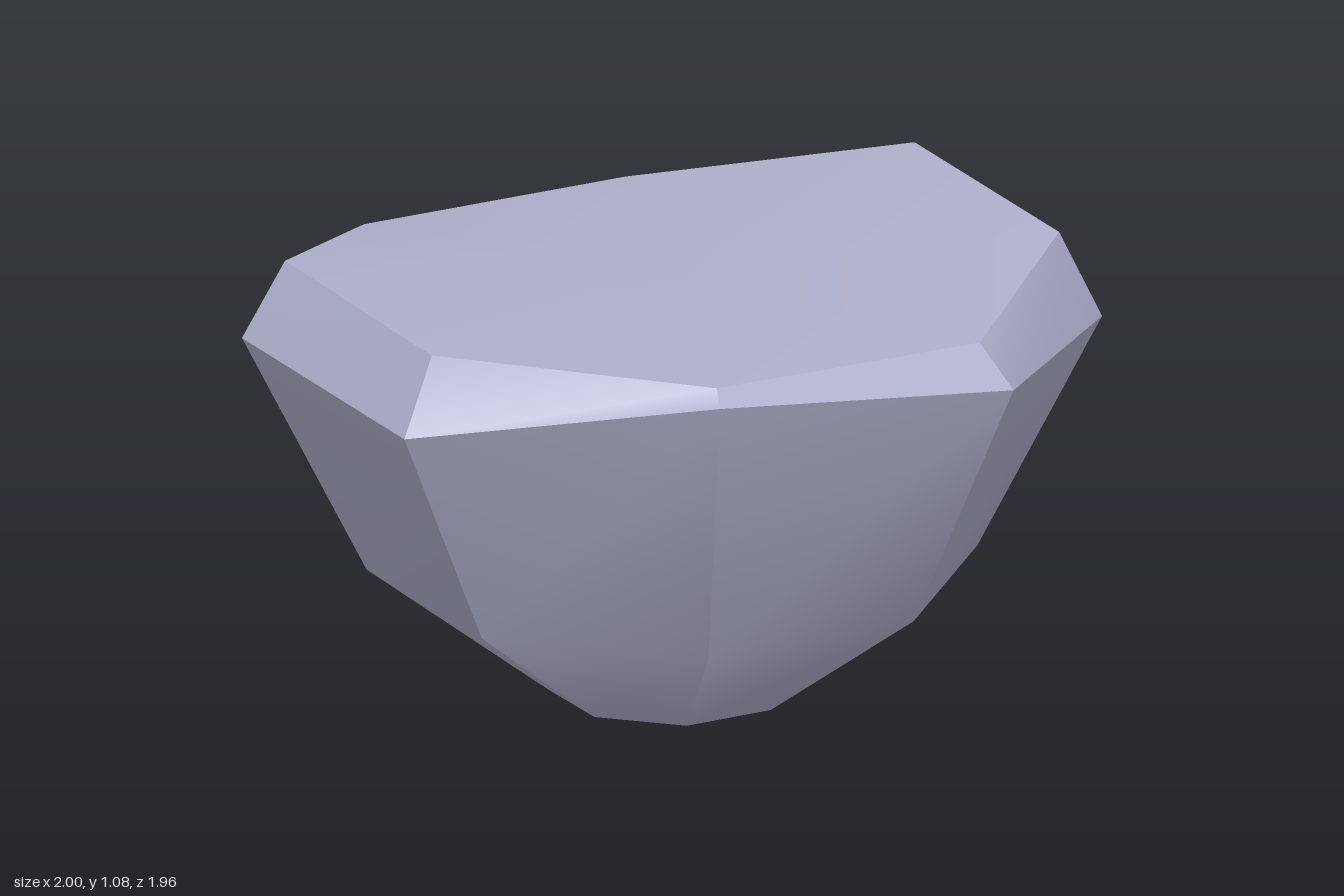
import * as THREE from 'three';
import { mergeGeometries } from 'three/addons/utils/BufferGeometryUtils.js';

const SIDES = 8;
const CENTRE_Z = 0.028;

// Regular eight-sided ring, running from +x towards +z
function regularRing(radius, y) {
  return Array.from({ length: SIDES }, (_, i) => {
    const a = (i / SIDES) * Math.PI * 2;
    return [radius * Math.cos(a), y, CENTRE_Z + radius * Math.sin(a)];
  });
}

const foot = regularRing(0.29, 0);
const waist = regularRing(0.71, 0.31);

// Uneven shoulder, where the boulder is widest
const shoulder = [
  [1, 0.86, 0.028], [0.71, 0.94, 0.735], [0, 1.01, 0.978], [-0.71, 0.89, 0.765],
  [-1, 0.89, 0.028], [-0.71, 0.865, -0.688], [0, 0.86, -0.978], [0.67, 0.94, -0.655],
];

// Chipped rim around the top face
const rim = [
  [0.9, 1.07, 0.028], [0.64, 1.035, 0.665], [0, 1.035, 0.905], [-0.64, 1.075, 0.715],
  [-0.9, 1.075, 0.028], [-0.64, 0.928, -0.61], [0, 0.926, -0.87], [0.64, 1.075, -0.61],
];

function smoothPatch(points, index) {
  const geometry = new THREE.BufferGeometry();
  geometry.setAttribute('position', new THREE.Float32BufferAttribute(points.flat(), 3));
  geometry.setIndex(index);
  geometry.computeVertexNormals();
  return geometry;
}

// Eight facets, each smooth from bottom to top with hard edges at its sides
function facets(rings) {
  return mergeGeometries(rings[0].map((_, i) => {
    const j = (i + 1) % SIDES;
    const points = rings.flatMap((ring) => [ring[i], ring[j]]);
    const index = [];
    for (let a = 0; a < points.length - 2; a += 2) {
      index.push(a, a + 2, a + 1, a + 2, a + 3, a + 1);
    }
    return smoothPatch(points, index);
  }));
}

// Fan from a centre point to a ring
function cap(ring, centreY, facesUp) {
  const index = [];
  for (let i = 0; i < SIDES; i++) {
    const j = (i + 1) % SIDES;
    index.push(SIDES, facesUp ? j : i, facesUp ? i : j);
  }
  return smoothPatch([...ring, [0, centreY, CENTRE_Z]], index);
}

export function createModel() {
  const stone = new THREE.MeshStandardMaterial({ color: 0xafb0cc });
  stone.name = 'stone';

  const group = new THREE.Group();
  group.name = 'rock';
  const parts = {
    base: cap(foot, 0, false),
    walls: facets([foot, waist, shoulder]),
    bevel: facets([shoulder, rim]),
    topFace: cap(rim, 1.03, true),
  };
  for (const [name, geometry] of Object.entries(parts)) {
    const mesh = new THREE.Mesh(geometry, stone);
    mesh.name = name;
    group.add(mesh);
  }
  return group;
}
